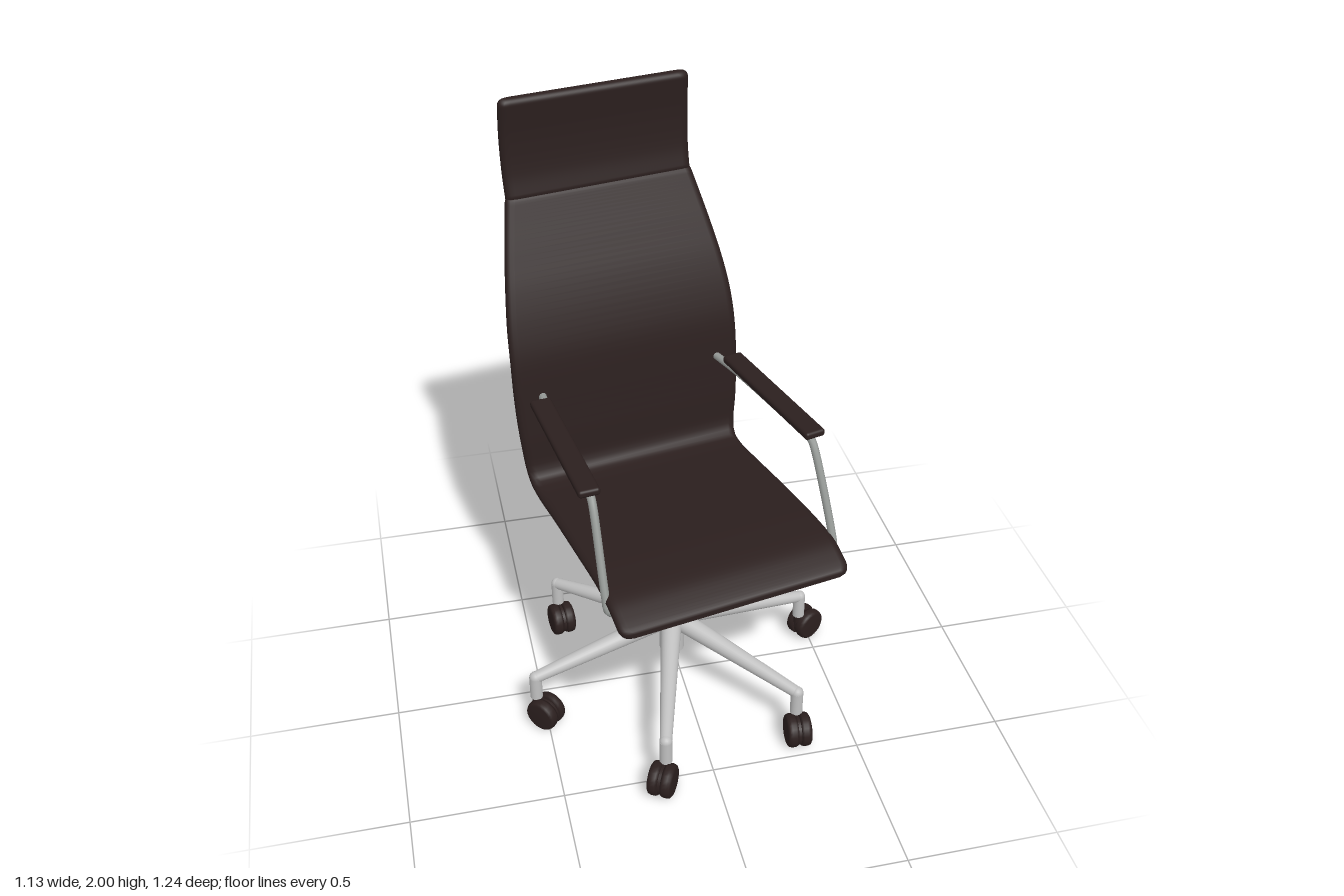
import * as THREE from 'three';
import { RoundedBoxGeometry } from 'three/addons/geometries/RoundedBoxGeometry.js';

const V = (x, y, z) => new THREE.Vector3(x, y, z);
const material = (name, color) => {
  const m = new THREE.MeshStandardMaterial({ color });
  m.name = name;
  return m;
};

// Padded panel swept along a curve whose points are (half width, y, z)
function paddedPanel(points, thick, cornerA, cornerB) {
  const curve = new THREE.CatmullRomCurve3(points.map(p => V(...p)), false, 'centripetal');
  const length = curve.getLength(), n = 90, arc = 6, ring = 2 * (arc + 1), edge = 1.4 * thick;
  const pos = [], idx = [];
  const inset = (d, r) => (d < r ? r - Math.sqrt(r * r - (r - d) ** 2) : 0);
  for (let i = 0; i <= n; i++) {
    // stations crowd toward both ends for the rounded corners
    const t = i / n, u = 0.3 * t + 0.7 * (0.5 - 0.5 * Math.cos(Math.PI * t));
    const c = curve.getPointAt(u), tan = curve.getTangentAt(u);
    const l = Math.hypot(tan.y, tan.z), ny = -tan.z / l, nz = tan.y / l;
    const dA = u * length, dB = length - dA;
    const half = c.x - inset(dA, cornerA) - inset(dB, cornerB);
    const th = thick - inset(Math.min(dA, dB), thick);
    for (const side of [0, 1]) {
      for (let k = 0; k <= arc; k++) {
        const a = -Math.PI / 2 + Math.PI * (side + k / arc);
        const s = th * Math.sin(a);
        pos.push((side ? -1 : 1) * (half - edge) + edge * Math.cos(a), c.y + ny * s, c.z + nz * s);
      }
    }
  }
  for (let i = 0; i < n; i++) {
    for (let j = 0; j < ring; j++) {
      const a = i * ring + j, b = i * ring + (j + 1) % ring;
      idx.push(a, a + ring, b + ring, a, b + ring, b);
    }
  }
  const g = new THREE.BufferGeometry();
  g.setAttribute('position', new THREE.Float32BufferAttribute(pos, 3));
  g.setIndex(idx);
  g.computeVertexNormals();
  return g;
}

export function createModel() {
  const leather = material('dark leather', 0x2b1f1e);
  const steel = material('brushed steel', 0xc0c0c0);
  const tubeSteel = material('arm steel', 0x959996);

  const model = new THREE.Group();
  model.name = 'officeChair';
  // The whole chair stands slightly turned
  const yaw = 0.195;
  const chair = new THREE.Group();
  chair.name = 'turnedChair';
  chair.position.set(-0.036, 0, 0.033);
  chair.rotation.y = yaw;
  model.add(chair);

  const group = (name, parent) => {
    const g = new THREE.Group();
    g.name = name;
    parent.add(g);
    return g;
  };
  const add = (name, geometry, mat, parent = chair) => {
    const m = new THREE.Mesh(geometry, mat);
    m.name = name;
    parent.add(m);
    return m;
  };
  const rod = (name, a, b, ra, rb, mat, parent = chair, sides = 24) => {
    const d = b.clone().sub(a);
    const m = add(name, new THREE.CylinderGeometry(rb, ra, d.length(), sides), mat, parent);
    m.position.copy(a).addScaledVector(d, 0.5);
    m.quaternion.setFromUnitVectors(V(0, 1, 0), d.normalize());
    return m;
  };

  // Seat and backrest in one bent shell, then the headrest cushion
  add('seatAndBackrest', paddedPanel([
    [0.387, 0.73, 0.513], [0.387, 0.756, 0.462], [0.387, 0.779, 0.4], [0.384, 0.786, 0.3],
    [0.381, 0.775, 0.1], [0.377, 0.758, -0.1], [0.376, 0.746, -0.25], [0.378, 0.757, -0.303],
    [0.383, 0.8, -0.329], [0.393, 0.9, -0.339], [0.399, 1.0, -0.35], [0.401, 1.1, -0.361], [0.399, 1.2, -0.376],
    [0.393, 1.3, -0.405], [0.379, 1.4, -0.443], [0.36, 1.5, -0.488], [0.338, 1.6, -0.534], [0.319, 1.68, -0.57],
  ], 0.02, 0.04, 0.012), leather);
  add('headrest', paddedPanel([
    [0.318, 1.662, -0.565], [0.319, 1.75, -0.584], [0.32, 1.87, -0.591], [0.319, 2.0, -0.583],
  ], 0.022, 0.015, 0.025), leather);

  // Arm frame: one bent tube passing beneath the seat
  const arms = group('arms', chair);
  arms.position.x = 0.005;
  const halfPath = [
    [0.31, 1.07, -0.365], [0.335, 1.07, -0.2], [0.368, 1.07, 0.21], [0.37, 1.068, 0.238],
    [0.372, 1.045, 0.258], [0.386, 0.785, 0.375], [0.385, 0.75, 0.388], [0.367, 0.736, 0.39], [0.3, 0.736, 0.39],
  ];
  const path = [
    ...halfPath.map(p => V(...p)),
    ...halfPath.slice().reverse().map(([x, y, z]) => V(-x, y, z)),
  ];
  add('armFrame', new THREE.TubeGeometry(new THREE.CatmullRomCurve3(path, false, 'centripetal'), 200, 0.013, 10), tubeSteel, arms);
  for (const s of [1, -1]) {
    const pad = add(s > 0 ? 'leftArmPad' : 'rightArmPad', new RoundedBoxGeometry(0.07, 0.026, 0.535, 3, 0.01), leather, arms);
    pad.position.set(s * 0.36, 1.091, -0.015);
    pad.rotation.y = s * 0.066;
    rod('armBolt', V(s * 0.325, 1.07, -0.37), V(s * 0.325, 1.07, -0.389), 0.011, 0.009, tubeSteel, arms);
  }

  // Gas lift column
  rod('columnLower', V(0, 0.15, 0), V(0, 0.27, 0), 0.043, 0.043, steel);
  rod('columnHub', V(0, 0.25, 0), V(0, 0.322, 0), 0.048, 0.055, steel);
  rod('columnUpper', V(0, 0.32, 0), V(0, 0.52, 0), 0.046, 0.046, steel);
  rod('liftRod', V(0, 0.52, 0), V(0, 0.655, 0), 0.021, 0.021, steel);

  // Six legs as [leg angle, caster angle] in degrees, each with a freely turned twin-wheel caster
  const reach = 0.506;
  const legs = [[0.5, 119], [64, 15], [122, 8], [180.5, 46], [244, -30], [302, -4]];
  const rim = [[0, -0.018], [0.046, -0.018], [0.054, -0.013], [0.057, -0.004], [0.057, 0.01], [0.053, 0.018], [0, 0.018]];
  const wheelGeometry = new THREE.LatheGeometry(rim.map(p => new THREE.Vector2(...p)), 24);
  legs.forEach(([angle, turn], k) => {
    const leg = group('leg' + (k + 1), chair);
    leg.rotation.y = THREE.MathUtils.degToRad(angle);
    rod('legArm', V(0.02, 0.285, 0), V(reach, 0.194, 0), 0.036, 0.02, steel, leg);
    add('legElbow', new THREE.SphereGeometry(0.021, 20, 12), steel, leg).position.set(reach, 0.194, 0);
    rod('legPost', V(reach, 0.108, 0), V(reach, 0.194, 0), 0.021, 0.021, steel, leg);

    const caster = group('caster' + (k + 1), leg);
    caster.position.set(reach, 0.057, 0);
    caster.rotation.y = THREE.MathUtils.degToRad(turn) - yaw - leg.rotation.y;
    rod('casterPin', V(0, 0, 0), V(0, 0.055, 0), 0.016, 0.016, leather, caster, 12);
    rod('casterCore', V(-0.008, 0, 0.036), V(0.008, 0, 0.036), 0.05, 0.05, leather, caster);
    for (const s of [1, -1]) {
      const wheel = add('casterWheel', wheelGeometry, leather, caster);
      wheel.rotation.z = s * Math.PI / 2;
      wheel.position.set(s * 0.023, 0, 0.036);
    }
  });
  return model;
}
